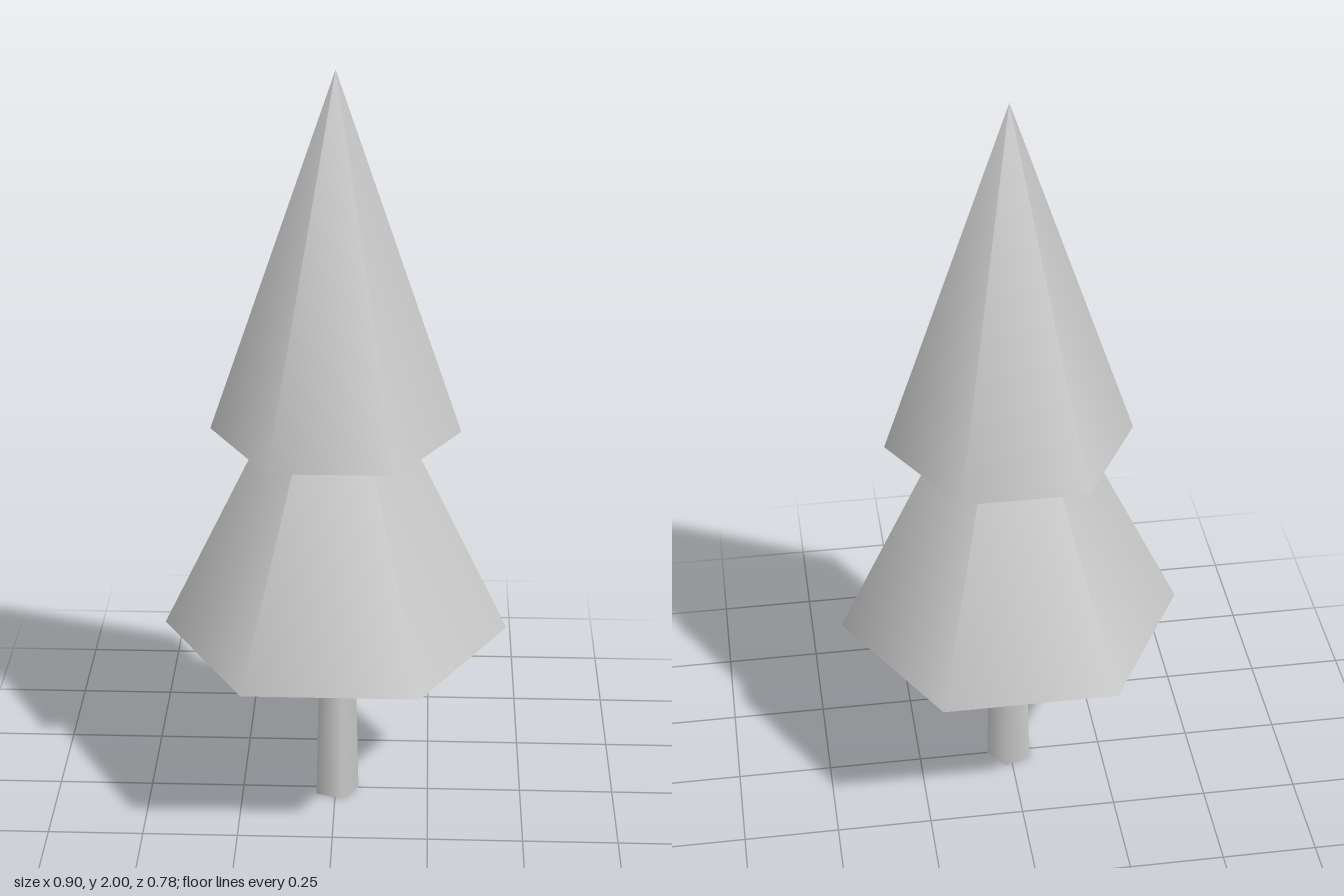
import * as THREE from 'three';

export function createModel() {
  const model = new THREE.Group();
  model.name = 'tree';
  const grey = new THREE.MeshStandardMaterial({ color: 0xcccccc });
  grey.name = 'light grey';

  // A part from bottom to top, turned so one corner points along +x
  function add(name, geometry, bottom, top) {
    geometry.rotateY(Math.PI / 2);
    geometry.translate(0, (bottom + top) / 2, 0);
    const mesh = new THREE.Mesh(geometry, grey);
    mesh.name = name;
    model.add(mesh);
  }

  // Five-sided tapered trunk
  add('trunk', new THREE.CylinderGeometry(0.05, 0.0625, 0.5, 5), 0, 0.5);

  // Two six-sided cones of foliage, the lower one ending inside the upper
  const tiers = [
    { name: 'lowerFoliage', radius: 0.45, bottom: 0.5, top: 1.44 },
    { name: 'upperFoliage', radius: 0.32, bottom: 1.06, top: 2 },
  ];
  for (const { name, radius, bottom, top } of tiers) {
    add(name, new THREE.ConeGeometry(radius, top - bottom, 6), bottom, top);
  }

  return model;
}
